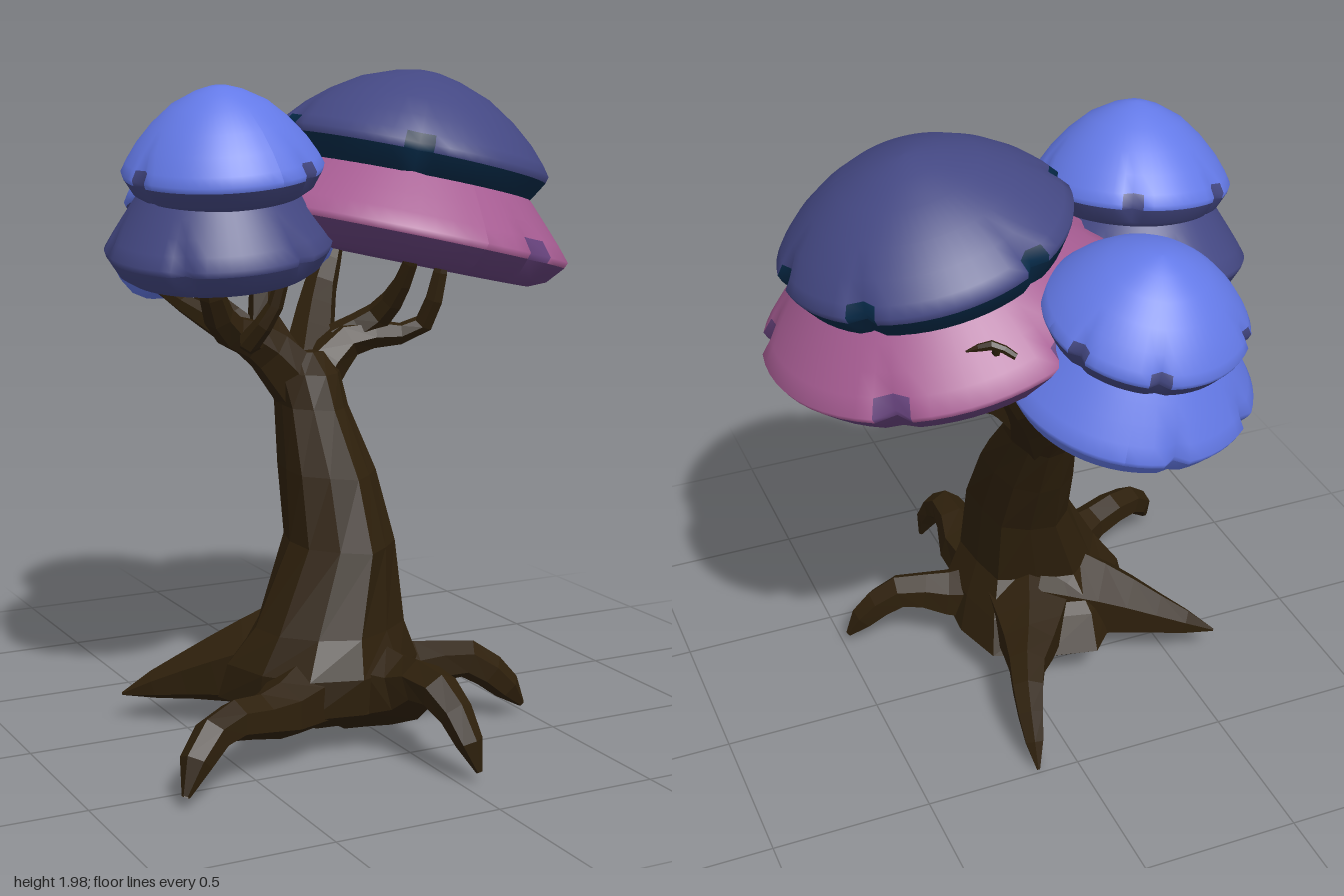
import * as THREE from 'three';

const mat = (name, color) => {
  const m = new THREE.MeshStandardMaterial({ color, side: THREE.DoubleSide });
  m.name = name;
  return m;
};
const V = (p) => new THREE.Vector3(...p);

export function createModel() {
  const bark = mat('bark brown', 0x2e200c);
  const blue = mat('bright blue', 0x647ae8);
  const indigo = mat('indigo', 0x444883);
  const pink = mat('mauve pink', 0xa65c92);
  const plum = mat('dark plum', 0x66427c);
  const navy = mat('navy', 0x062a48);

  const model = new THREE.Group();
  model.name = 'tree';

  const add = (parent, name, geometry, material) => {
    const m = new THREE.Mesh(geometry, material);
    m.name = name;
    parent.add(m);
  };
  // Faceted normals for the bark
  const faceted = (g) => {
    const f = g.toNonIndexed();
    f.computeVertexNormals();
    return f;
  };

  // Leaning trunk: rows of y, centre x, centre z, radius x, radius z (top to bottom)
  const rows = [
    [1.14, -0.05, -0.15, 0.08, 0.11],
    [1.08, -0.05, -0.11, 0.105, 0.155],
    [0.98, -0.05, -0.05, 0.10, 0.15],
    [0.80, -0.06, 0.07, 0.13, 0.20],
    [0.60, -0.07, 0.165, 0.15, 0.215],
    [0.36, -0.13, 0.21, 0.22, 0.22],
    [0.25, -0.14, 0.19, 0.28, 0.28],
    [0.14, -0.13, 0.16, 0.30, 0.31],
    [0.09, -0.12, 0.16, 0.22, 0.24],
  ];
  const trunk = new THREE.CylinderGeometry(1, 1, 1, 11, rows.length - 1);
  const tp = trunk.attributes.position;
  for (let i = 0; i < tp.count; i++) {
    const k = Math.round((0.5 - tp.getY(i)) * (rows.length - 1));
    const [y, cx, cz, rx, rz] = rows[k];
    const a = Math.atan2(tp.getX(i), tp.getZ(i));
    const bump = 1 + 0.07 * Math.sin(5 * a + k * 0.5);
    tp.setXYZ(i, cx + tp.getX(i) * rx * bump, y, cz + tp.getZ(i) * rz * bump);
  }
  add(model, 'trunk', faceted(trunk), bark);

  // Tapered crooked limb: path points with radii spread along it
  const limb = (name, points, radii, sides = 6) => {
    const curve = new THREE.CatmullRomCurve3(points.map(V));
    const n = (points.length - 1) * 2;
    const g = new THREE.TubeGeometry(curve, n, 1, sides);
    const p = g.attributes.position;
    const v = new THREE.Vector3();
    for (let i = 0; i < p.count; i++) {
      const row = Math.floor(i / (sides + 1));
      const t = (row / n) * (radii.length - 1);
      const j = Math.min(Math.floor(t), radii.length - 2);
      const r = row === n ? radii.at(-1) * 0.3
        : THREE.MathUtils.lerp(radii[j], radii[j + 1], t - j);
      const c = curve.getPointAt(row / n);
      v.fromBufferAttribute(p, i).sub(c).multiplyScalar(r).add(c);
      p.setXYZ(i, v.x, v.y, v.z);
    }
    add(model, name, faceted(g), bark);
  };

  // Roots
  limb('leftRoot', [[-0.15, 0.2, 0.25], [-0.4, 0.18, 0.43], [-0.6, 0.2, 0.51], [-0.7, 0.15, 0.57], [-0.76, 0.05, 0.61]],
    [0.15, 0.105, 0.065, 0.055, 0.04]);
  limb('frontRoot', [[-0.1, 0.19, 0.25], [0.0, 0.21, 0.48], [0.0, 0.26, 0.62], [0.02, 0.19, 0.75], [0.05, 0.05, 0.81]],
    [0.16, 0.12, 0.07, 0.05, 0.03]);
  limb('rightRoot', [[-0.08, 0.2, 0.2], [0.13, 0.19, 0.26], [0.3, 0.21, 0.31], [0.41, 0.13, 0.34], [0.48, 0.05, 0.35]],
    [0.16, 0.1, 0.065, 0.055, 0.035]);
  limb('backRoot', [[-0.08, 0.24, 0.1], [0.0, 0.22, -0.1], [0.07, 0.21, -0.25], [0.11, 0.14, -0.38], [0.13, 0.02, -0.49]],
    [0.18, 0.12, 0.065, 0.045, 0.018]);
  limb('rearLeftRoot', [[-0.12, 0.25, 0.13], [-0.33, 0.2, 0.02], [-0.5, 0.15, -0.08], [-0.65, 0.1, -0.16]],
    [0.2, 0.14, 0.075, 0.015]);

  // Branches
  limb('backBranch', [[-0.04, 1.02, -0.1], [0.05, 1.18, -0.24], [0.14, 1.32, -0.36], [0.22, 1.45, -0.43], [0.29, 1.63, -0.54]],
    [0.1, 0.075, 0.055, 0.035, 0.012]);
  limb('backTip', [[0.24, 1.6, -0.57], [0.29, 1.63, -0.54], [0.36, 1.61, -0.51]], [0.01, 0.014, 0.008]);
  limb('rightBranch', [[-0.02, 1.04, -0.1], [0.1, 1.17, -0.09], [0.31, 1.19, -0.03], [0.34, 1.28, 0.02], [0.37, 1.46, 0.04]],
    [0.08, 0.06, 0.035, 0.03, 0.02]);
  limb('rightTwig', [[0.08, 1.16, -0.12], [0.19, 1.24, -0.06], [0.22, 1.33, 0.02], [0.24, 1.48, 0.1]],
    [0.06, 0.045, 0.03, 0.02]);
  limb('leftBranch', [[-0.06, 1.02, -0.08], [-0.2, 1.17, -0.1], [-0.33, 1.23, -0.06], [-0.4, 1.33, 0.0], [-0.43, 1.5, 0.04]],
    [0.1, 0.075, 0.055, 0.04, 0.025]);
  limb('leftFrontTwig', [[-0.23, 1.19, -0.08], [-0.3, 1.2, 0.04], [-0.25, 1.3, 0.1], [-0.22, 1.45, 0.13]],
    [0.04, 0.035, 0.025, 0.018]);
  limb('middleBranch', [[-0.1, 1.1, -0.14], [-0.17, 1.26, -0.16], [-0.13, 1.36, -0.2], [-0.1, 1.52, -0.25]],
    [0.07, 0.05, 0.04, 0.025]);
  limb('rearLeftBranch', [[-0.15, 1.12, -0.12], [-0.26, 1.25, -0.24], [-0.3, 1.33, -0.36], [-0.25, 1.48, -0.44]],
    [0.07, 0.05, 0.035, 0.025]);
  limb('outerTwig', [[-0.33, 1.23, -0.08], [-0.42, 1.3, -0.2], [-0.48, 1.37, -0.36], [-0.55, 1.42, -0.43]],
    [0.045, 0.03, 0.016, 0.008]);
  limb('outerTwigFork', [[-0.48, 1.37, -0.36], [-0.5, 1.39, -0.4], [-0.5, 1.42, -0.45]], [0.014, 0.012, 0.007]);
  limb('outerTwigSpur', [[-0.42, 1.3, -0.22], [-0.46, 1.34, -0.31], [-0.53, 1.37, -0.34]], [0.022, 0.016, 0.007]);

  // One canopy surface: profile is [share of radius, height], from bottom to top
  const SEG = 60;
  const NOTCHES = [4, 12, 24, 34, 45];
  const shell = (parent, name, profile, R, material, tear) => {
    const g = new THREE.LatheGeometry(profile.map(([r, y]) => new THREE.Vector2(r * R, y)), SEG);
    const p = g.attributes.position;
    for (let i = 0; i < p.count; i++) {
      const x = p.getX(i), z = p.getZ(i), r = Math.hypot(x, z) / R;
      const col = Math.round((Math.atan2(x, z) / (2 * Math.PI)) * SEG + SEG) % SEG;
      // Narrow notches torn into the rim
      if (r < 0.88 || !NOTCHES.includes(col)) continue;
      const s = 1 - (r - 0.84) * 0.5;
      p.setXYZ(i, x * s, p.getY(i), z * s);
    }
    g.computeVertexNormals();
    // The lowest two bands beside each notch show the rim colour
    const band = (profile.length - 1) * 6;
    for (let c = 0; c < SEG; c++) {
      const torn = NOTCHES.includes(c) || NOTCHES.includes(c + 1);
      g.addGroup(c * band, 12, torn ? 1 : 0);
      g.addGroup(c * band + 12, band - 12, 0);
    }
    add(parent, name, g, [material, tear]);
  };

  const layer = (name, centre, normal, R, turn, lip, dome, [under, edge, top]) => {
    const grp = new THREE.Group();
    grp.name = name;
    grp.position.set(...centre);
    grp.quaternion.setFromUnitVectors(new THREE.Vector3(0, 1, 0), V(normal).normalize());
    grp.rotateY(turn);
    shell(grp, name + 'Underside', [[0, -lip], [0.5, -lip], [0.8, -lip]], R, under, under);
    shell(grp, name + 'Lip', [[0.8, -lip], [0.9, -lip * 0.75], [0.985, -lip * 0.2]], R, edge, edge);
    shell(grp, name + 'Dome', [[0.985, -lip * 0.2], ...dome], R, top, edge);
    model.add(grp);
  };

  // Pointed crown profile, and flared skirt profile that tucks under it
  const crown = (h) => [[1, 0], [0.95, 0.12], [0.84, 0.33], [0.68, 0.56], [0.48, 0.78], [0.25, 0.93], [0.1, 0.99], [0, 1]]
    .map(([r, y]) => [r, y * h]);
  const skirt = (h) => [[1, 0], [0.93, 0.22], [0.84, 0.48], [0.74, 0.76], [0.65, 1]]
    .map(([r, y]) => [r, y * h]);

  const bigTilt = [0.22, 0.97, 0];
  layer('bigSkirt', [0.265, 1.505, -0.062], bigTilt, 0.535, 0, 0.095, skirt(0.2), [plum, plum, pink]);
  layer('bigCrown', [0.31, 1.75, -0.06], bigTilt, 0.43, 1.1, 0.11, crown(0.25), [navy, navy, indigo]);

  const leftTilt = [-0.1, 0.97, 0.13];
  layer('leftSkirt', [-0.4, 1.5, 0.045], leftTilt, 0.335, 2.0, 0.09, skirt(0.17), [blue, indigo, indigo]);
  layer('leftCrown', [-0.4, 1.725, 0.08], leftTilt, 0.295, 0.2, 0.08, crown(0.235), [indigo, indigo, blue]);

  const backTilt = [-0.08, 0.96, -0.24];
  layer('backSkirt', [-0.14, 1.41, -0.48], backTilt, 0.36, 2.7, 0.09, skirt(0.18), [blue, blue, blue]);
  layer('backCrown', [-0.165, 1.625, -0.525], backTilt, 0.295, 1.6, 0.08, crown(0.205), [indigo, indigo, blue]);

  return model;
}
